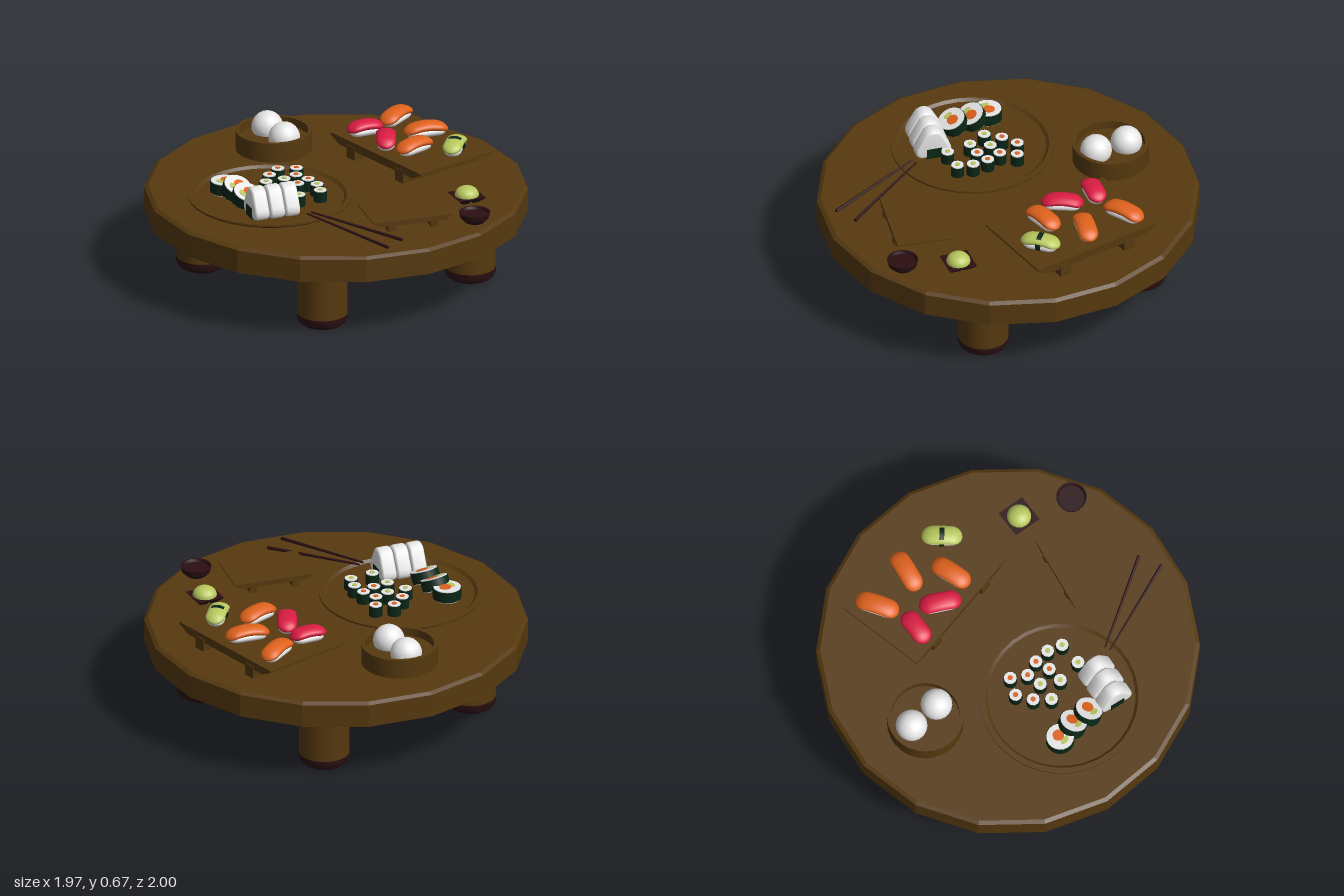
import * as THREE from 'three';
import { toCreasedNormals } from 'three/addons/utils/BufferGeometryUtils.js';

const mat = (name, color, side = THREE.FrontSide) => {
  const m = new THREE.MeshStandardMaterial({ color, side });
  m.name = name;
  return m;
};

export function createModel() {
  const wood = mat('brown wood', 0x56390f, THREE.DoubleSide);
  const lacquer = mat('dark lacquer', 0x2b0f12, THREE.DoubleSide);
  const rice = mat('white rice', 0xeeeeee);
  const salmon = mat('orange salmon', 0xe0621c);
  const tuna = mat('red tuna', 0xdc1c44);
  const avocado = mat('pale green', 0xb9c85e);
  const nori = mat('dark green seaweed', 0x0a2616);

  const root = new THREE.Group();
  root.name = 'sushiTable';

  const add = (parent, name, geo, material, x = 0, y = 0, z = 0) => {
    const mesh = new THREE.Mesh(geo, material);
    mesh.name = name;
    mesh.position.set(x, y, z);
    parent.add(mesh);
    return mesh;
  };
  const group = (name, x, y, z, ry = 0, parent = root) => {
    const g = new THREE.Group();
    g.name = name;
    g.position.set(x, y, z);
    g.rotation.y = ry;
    parent.add(g);
    return g;
  };
  // Profile points run bottom to top on the outside, then in to the axis
  const lathe = (pts, sides, crease = 0.5) => toCreasedNormals(
    new THREE.LatheGeometry(pts.map(p => new THREE.Vector2(...p)), sides), crease);
  const cyl = (r, h, sides = 16) => new THREE.CylinderGeometry(r, r, h, sides);

  // Hollow 18-sided table top with a small top bevel
  add(root, 'tableTop', lathe([[1, 0.345], [1, 0.47], [0.98, 0.483], [0, 0.483]], 18, 0.1), wood);

  // Four tubular legs with dark open feet
  for (const sx of [-1, 1]) for (const sz of [-1, 1]) {
    const leg = group('leg', sx * 0.497, 0, sz * 0.497);
    add(leg, 'legTube', new THREE.CylinderGeometry(0.133, 0.133, 0.425, 24, 1, true), wood, 0, 0.27, 0);
    add(leg, 'foot', lathe([[0.065, 0], [0.105, 0], [0.125, 0.015], [0.134, 0.035], [0.134, 0.06]], 24), lacquer);
  }

  // Rice bowl with two rice balls
  const bowl = group('riceBowl', -0.6, 0.483, -0.07);
  add(bowl, 'bowlBody', lathe([[0.2, 0], [0.2, 0.105], [0.18, 0.105], [0.18, 0.06], [0, 0.06]], 28), wood);
  for (const [x, z] of [[-0.083, -0.025], [0.09, 0.002]])
    add(bowl, 'riceBall', new THREE.SphereGeometry(0.083, 20, 14), rice, x, 0.09, z);

  // Serving boards: tapered slab on two bars
  const board = (name, x, z, ry, s) => {
    const g = group(name, x, 0.483, z, ry);
    g.scale.setScalar(s);
    const slab = new THREE.Shape([[-0.3, 0.05], [0.3, 0.05], [0.37, 0.085], [0.37, 0.095], [-0.37, 0.095], [-0.37, 0.085]]
      .map(p => new THREE.Vector2(...p)));
    add(g, 'slab', new THREE.ExtrudeGeometry(slab, { depth: 0.49, bevelEnabled: false }), wood, 0, 0, -0.245);
    for (const bx of [-0.2, 0.2])
      add(g, 'boardFoot', new THREE.BoxGeometry(0.065, 0.07, 0.5), wood, bx, 0.035, 0);
  };
  board('sushiBoard', -0.03, -0.535, 0, 1);
  board('smallBoard', 0.58, 0.01, 1.19, 0.58);

  // Nigiri: a pad of rice under a drooping slice
  const pill = (r, len, sy, bend) => {
    const g = new THREE.CapsuleGeometry(r, len - 2 * r, 6, 16, 8).rotateZ(Math.PI / 2).scale(1, sy, 1);
    const p = g.attributes.position;
    for (let i = 0; i < p.count; i++) p.setY(i, p.getY(i) - bend * p.getX(i) ** 2);
    g.computeVertexNormals();
    return g;
  };
  const nigiri = (x1, z1, x2, z2, topping, band) => {
    const len = Math.hypot(x2 - x1, z2 - z1);
    const g = group('nigiri', (x1 + x2) / 2, 0.578, (z1 + z2) / 2, Math.atan2(z1 - z2, x2 - x1));
    add(g, 'ricePad', pill(0.046, len - 0.025, 0.62, 0), rice, 0, 0.028, 0);
    add(g, 'topping', pill(0.052, len, 0.5, 1.8), topping, 0, 0.058, 0);
    if (band)
      add(g, 'seaweedBand', cyl(0.055, 0.026, 20).rotateZ(Math.PI / 2).scale(1, 0.82, 1), nori, 0, 0.042, 0);
  };
  nigiri(-0.33, -0.755, -0.25, -0.53, salmon);
  nigiri(-0.005, -0.755, -0.09, -0.53, salmon);
  nigiri(0.08, -0.57, 0.1, -0.34, salmon);
  nigiri(-0.235, -0.505, -0.285, -0.31, tuna);
  nigiri(-0.16, -0.465, 0.015, -0.325, tuna);
  nigiri(0.155, -0.705, 0.285, -0.535, avocado, true);

  // Round plate
  const plate = group('roundPlate', -0.05, 0.483, 0.4);
  add(plate, 'plateBody', lathe([[0.36, 0], [0.41, 0.018], [0.43, 0.03], [0.43, 0.04], [0.4, 0.04], [0.385, 0.026], [0, 0.026]], 32), wood);

  // Small rolls
  const smallRoll = (x, z, filling) => {
    const g = group('smallRoll', x, 0.509, z);
    add(g, 'wrap', cyl(0.036, 0.058, 10), nori, 0, 0.029, 0);
    add(g, 'riceTop', cyl(0.034, 0.006, 10), rice, 0, 0.06, 0);
    add(g, 'filling', cyl(0.014, 0.004, 8), filling, 0, 0.064, 0);
  };
  for (const [x, z] of [[-0.155, 0.14], [-0.21, 0.22], [-0.085, 0.2], [0, 0.187], [-0.172, 0.307], [0.012, 0.267]])
    smallRoll(x, z, salmon);
  for (const [x, z] of [[0.085, 0.197], [0.158, 0.235], [-0.082, 0.282], [0, 0.35], [-0.11, 0.38], [0.135, 0.36]])
    smallRoll(x, z, avocado);

  // Large rolls, each leaning on the one before
  [[-0.247, 0.545, 0.548, 0.0], [-0.15, 0.558, 0.55, -0.45], [-0.045, 0.556, 0.57, -0.42]].forEach(([x, y, z, tilt]) => {
    const g = group('largeRoll', x, y, z);
    g.rotation.z = tilt;
    add(g, 'wrap', cyl(0.075, 0.058, 20), nori);
    for (const s of [-1, 1]) {
      add(g, 'riceFace', cyl(0.072, 0.006, 20), rice, 0, s * 0.03, 0);
      add(g, 'salmonFilling', cyl(0.031, 0.004, 12), salmon, 0, s * 0.0335, -0.012);
      add(g, 'greenFilling', cyl(0.02, 0.004, 10).scale(1.3, 1, 0.8), avocado, 0, s * 0.033, 0.03);
    }
  });

  // Three standing rice triangles with a seaweed patch at the base
  const tri = new THREE.Shape();
  tri.moveTo(-0.06, 0);
  tri.lineTo(0.06, 0);
  tri.quadraticCurveTo(0.09, 0.005, 0.075, 0.04);
  tri.lineTo(0.03, 0.12);
  tri.quadraticCurveTo(0, 0.145, -0.03, 0.12);
  tri.lineTo(-0.075, 0.04);
  tri.quadraticCurveTo(-0.09, 0.005, -0.06, 0);
  const triGeo = toCreasedNormals(new THREE.ExtrudeGeometry(tri, {
    depth: 0.044, bevelThickness: 0.018, bevelSize: 0.016, bevelSegments: 4, curveSegments: 6,
  }).translate(0, 0.016, -0.022), 0.7);
  for (const [x, z] of [[0.163, 0.46], [0.136, 0.54], [0.106, 0.62]]) {
    const g = group('riceTriangle', x, 0.509, z, -0.32);
    add(g, 'riceBody', triGeo, rice);
    add(g, 'seaweedPatch', new THREE.BoxGeometry(0.08, 0.058, 0.086), nori, 0, 0.029, 0);
  }

  // Green paste on a flared square dish
  const dish = group('pasteDish', 0.588, 0.483, -0.4, -0.25);
  const dishGeo = new THREE.CylinderGeometry(0.108, 0.065, 0.03, 4).rotateY(Math.PI / 4);
  add(dish, 'squareDish', toCreasedNormals(dishGeo, 0.3), lacquer, 0, 0.015, 0);
  add(dish, 'paste', new THREE.SphereGeometry(0.064, 16, 12).scale(1, 0.75, 1), avocado, 0, 0.032, 0);

  // Sauce dish
  const sauce = group('sauceDish', 0.837, 0.483, -0.25);
  add(sauce, 'dishBody', lathe([[0.05, 0], [0.075, 0.025], [0.082, 0.055], [0.074, 0.055], [0.068, 0.04], [0, 0.04]], 20), lacquer);

  // Chopsticks resting on the plate rim
  for (const [x1, z1, x2, z2] of [[0.3, 0.41, 0.815, 0.22], [0.305, 0.44, 0.85, 0.343]]) {
    const a = new THREE.Vector3(x1, 0.536, z1), d = new THREE.Vector3(x2, 0.495, z2).sub(a);
    const stick = add(root, 'chopstick', new THREE.CylinderGeometry(0.009, 0.005, d.length(), 8), lacquer);
    stick.position.copy(a).addScaledVector(d, 0.5);
    stick.quaternion.setFromUnitVectors(new THREE.Vector3(0, 1, 0), d.normalize());
  }

  return root;
}
